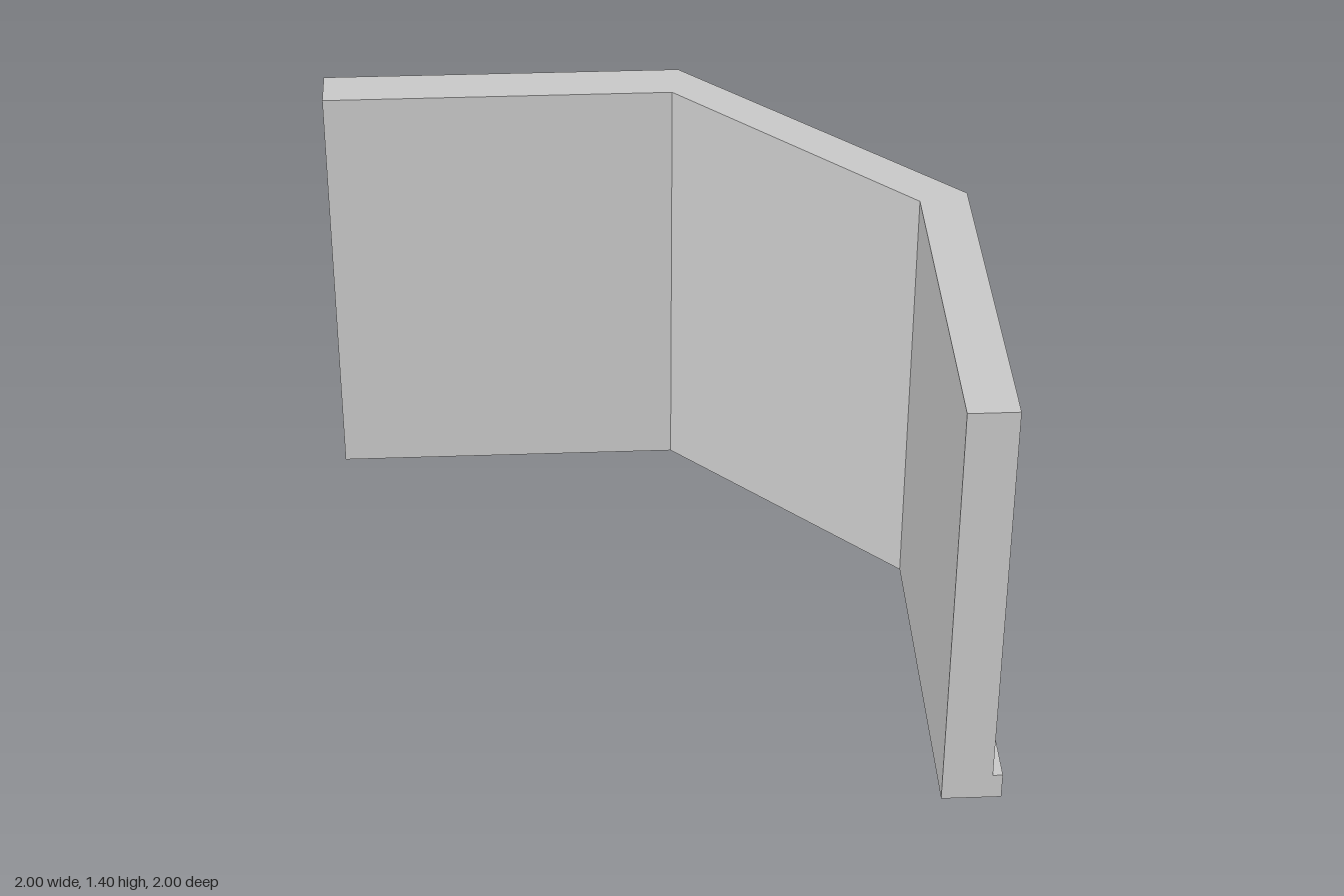
import * as THREE from 'three';

const HEIGHT = 1.4, BASE_TOP = 0.085, GROOVE_LOW = 0.83, GROOVE_HIGH = 1.035;

// Plan stations along the wall, each [x, z]: inner face, outer face, plinth face, groove floor
const end = (inner, outer, plinth) => ({ inner, outer, plinth, groove: outer });
const grooved = (station, groove) => ({ ...station, groove });

const backStart = end([-0.88, -0.82], [-0.88, -0.97], [-0.88, -1]);
const sideStop = end([0.82, 0.88], [0.97, 0.88], [1, 0.88]);
const stations = [
  end([-1, -0.82], [-1, -0.97], [-1, -1]),
  backStart,
  grooved(backStart, [-0.88, -0.945]),
  { inner: [0.11, -0.82], outer: [0.137, -0.968], plinth: [0.146, -0.995], groove: [0.128, -0.945] },
  { inner: [0.82, -0.118], outer: [0.968, -0.16], plinth: [0.992, -0.175], groove: [0.945, -0.148] },
  grooved(sideStop, [0.945, 0.88]),
  sideStop,
  end([0.82, 1], [0.97, 1], [1, 1]),
];

// Cross-section of the wall at one station, from the inner foot outwards and up
function section({ inner, outer, plinth, groove }) {
  const at = ([x, z], y) => new THREE.Vector3(x, y, z);
  return [
    at(inner, 0), at(plinth, 0), at(plinth, BASE_TOP), at(outer, BASE_TOP),
    at(outer, GROOVE_LOW), at(groove, GROOVE_LOW), at(groove, GROOVE_HIGH), at(outer, GROOVE_HIGH),
    at(outer, HEIGHT), at(inner, HEIGHT),
  ];
}

function wallGeometry() {
  const positions = [];
  const triangle = (a, b, c) => {
    if (new THREE.Triangle(a, b, c).getArea() < 1e-7) return;
    for (const p of [a, b, c]) positions.push(p.x, p.y, p.z);
  };
  const rings = stations.map(section);
  const n = rings[0].length;

  // Skin between neighbouring cross-sections
  for (let s = 0; s < rings.length - 1; s++) {
    const p = rings[s], q = rings[s + 1];
    for (let i = 0; i < n; i++) {
      const j = (i + 1) % n;
      triangle(p[i], p[j], q[j]);
      triangle(p[i], q[j], q[i]);
    }
  }
  // Flat ends
  const first = rings[0], last = rings[rings.length - 1];
  for (let i = 1; i < n - 1; i++) {
    triangle(first[0], first[i + 1], first[i]);
    triangle(last[0], last[i], last[i + 1]);
  }

  const geometry = new THREE.BufferGeometry();
  geometry.setAttribute('position', new THREE.Float32BufferAttribute(positions, 3));
  geometry.computeVertexNormals();
  return geometry;
}

export function createModel() {
  const group = new THREE.Group();
  group.name = 'cornerWall';
  const material = new THREE.MeshStandardMaterial({ color: 0xcccccc, flatShading: true });
  const wall = new THREE.Mesh(wallGeometry(), material);
  wall.name = 'groovedWallWithPlinth';
  group.add(wall);
  return group;
}
